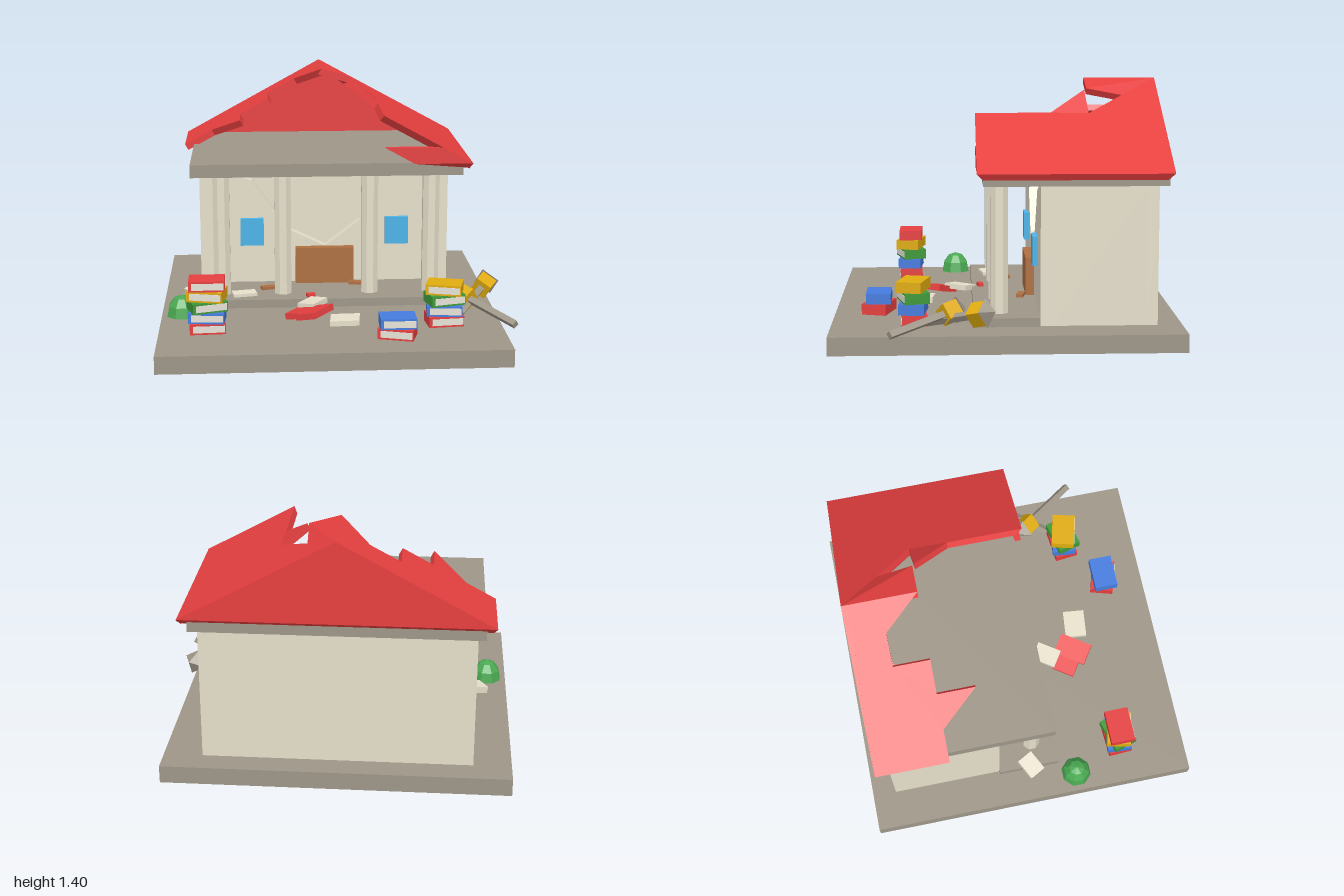
import * as THREE from 'three';

const mat = (name, color) => {
  const m = new THREE.MeshStandardMaterial({ color });
  m.name = name;
  m.flatShading = true;
  return m;
};

export function createModel() {
  const model = new THREE.Group();
  model.name = 'ruinedLibrary';
  const red = mat('roof red', 0xe63f3f), stone = mat('stone grey', 0x9e9688), wall = mat('cream wall', 0xe6dfcb);
  const wood = mat('door brown', 0xae7042), glass = mat('window blue', 0x4cb4e8), blue = mat('book blue', 0x467cdf);
  const green = mat('book green', 0x3f9a3a), gold = mat('gold', 0xe0ac10), pages = mat('pages', 0xf0ece0);
  const leaf = mat('bush green', 0x4aa952);
  stone.side = THREE.DoubleSide;

  const add = (name, geo, m, parent = model) => {
    const mesh = new THREE.Mesh(geo, m);
    mesh.name = name;
    parent.add(mesh);
    return mesh;
  };
  // box given by its min and max on each axis
  const box = (name, m, x0, x1, y0, y1, z0, z1) => {
    const b = add(name, new THREE.BoxGeometry(x1 - x0, y1 - y0, z1 - z0), m);
    b.position.set((x0 + x1) / 2, (y0 + y1) / 2, (z0 + z1) / 2);
    return b;
  };
  const extrude = (pts, depth) => new THREE.ExtrudeGeometry(
    new THREE.Shape(pts.map(p => new THREE.Vector2(...p))), { depth, bevelEnabled: false });

  // Plinth is a hollow shell: its underside is left open
  const plinth = box('plinth', stone, -1, 0.917, 0, 0.1, -0.957, 0.957).geometry;
  const faces = Array.from(plinth.index.array);
  faces.splice(18, 6);
  plinth.setIndex(faces);
  plinth.clearGroups();

  // Porch floor and ceiling slab
  box('porchFloor', stone, -0.81, 0.72, 0.101, 0.15, -0.18, 0.18);
  box('ceilingSlab', stone, -0.83, 0.745, 0.87, 0.945, -0.87, 0.13);

  // Walls, the front one broken open in a V
  box('backWall', wall, -0.79, 0.7, 0.101, 0.87, -0.82, -0.76);
  box('rightWall', wall, -0.79, -0.73, 0.101, 0.87, -0.76, -0.24);
  box('leftWall', wall, 0.64, 0.7, 0.101, 0.87, -0.76, -0.24);
  const front = add('brokenFrontWall', extrude([
    [-0.79, 0.101], [0.7, 0.101], [0.7, 0.87], [0.62, 0.87], [0.52, 0.84], [0.4, 0.81], [0.26, 0.64], [0.17, 0.53],
    [-0.04, 0.37], [-0.25, 0.47], [-0.35, 0.6], [-0.48, 0.78], [-0.61, 0.825], [-0.7, 0.87], [-0.79, 0.87]
  ], 0.06), wall);
  front.position.z = -0.24;

  // Door with its foot showing under the plinth top, windows and columns
  box('door', wood, -0.22, 0.13, 0.101, 0.37, -0.2, -0.13);
  box('doorFoot', wood, -0.2, 0.13, 0.094, 0.101, -0.205, -0.185);
  for (const x of [-0.48, 0.39]) box('window', glass, x - 0.07, x + 0.07, 0.385, 0.55, -0.19, -0.15);
  for (const x of [-0.657, -0.3, 0.21, 0.57]) {
    const c = add('column', new THREE.CylinderGeometry(0.052, 0.052, 0.72, 8), wall);
    c.position.set(x, 0.51, 0.04);
    c.rotation.y = Math.PI / 8;
  }

  // Roof slopes: a plan outline (x, z) laid on the pitch, undercut at the eaves
  const ridgeX = -0.045, ridgeY = 1.405, pitch = 0.548;
  const slope = (name, plan, side) => {
    const g = extrude(plan.map(([x, z]) => [x, -z]), 0.04);
    g.rotateX(-Math.PI / 2);
    const p = g.attributes.position;
    for (let i = 0; i < p.count; i++) {
      const x = p.getX(i), z = p.getZ(i), lower = p.getY(i) < 0.02;
      // the torn tip beside the ridge curls upward
      const curl = Math.abs(x - 0.132) < 0.02 && Math.abs(z + 0.47) < 0.02 ? 0.045 : 0;
      p.setY(i, ridgeY - pitch * Math.abs(x - ridgeX) + curl - (lower ? 0.035 : 0));
      if (!lower) continue;
      p.setX(i, x - side * 0.02);
      if (z > 0.16) p.setZ(i, z - 0.035);
      if (z < -0.88) p.setZ(i, z + 0.035);
    }
    g.computeVertexNormals();
    add(name, g, red);
  };
  slope('roofLeftSlope', [
    [-0.045, -0.89], [0.798, -0.89], [0.798, 0.165], [0.28, 0.165], [0.28, -0.26], [0.142, -0.462],
    [0.285, -0.475], [0.12, -0.68], [0.13, -0.475], [-0.045, -0.475]
  ], 1);
  slope('roofRightSlope', [
    [-0.045, -0.89], [-0.885, -0.89], [-0.885, -0.475], [-0.72, -0.475], [-0.545, -0.26], [-0.545, -0.475],
    [-0.375, -0.475], [-0.375, -0.68], [-0.21, -0.68], [-0.045, -0.475]
  ], -1);

  // Gables: the corners of the inner face drop to the slab
  const gable = (name, pts, z, innerIsBack) => {
    const g = extrude(pts, 0.035), p = g.attributes.position;
    for (let i = 0; i < p.count; i++) {
      const x = p.getX(i), inner = (p.getZ(i) < 0.01) === innerIsBack;
      if (inner && p.getY(i) < 0.95 && Math.abs(x) > 0.7) p.setXY(i, x - Math.sign(x) * 0.02, 0.912);
    }
    g.computeVertexNormals();
    add(name, g, red).position.z = z;
  };
  gable('backGable', [[-0.885, 0.945], [0.798, 0.945], [ridgeX, ridgeY]], -0.89, false);
  gable('frontGableRemnant', [[0.46, 0.945], [0.798, 0.945], [0.62, 1.04], [0.29, 1.04]], 0.13, true);

  // Books: a cover block with the page edge on its front
  const book = (m, x, y, z, turn) => {
    const g = new THREE.Group();
    g.name = 'book';
    add('cover', new THREE.BoxGeometry(0.198, 0.06, 0.14), m, g);
    add('pageEdge', new THREE.BoxGeometry(0.175, 0.038, 0.008), pages, g).position.set(0.006, 0, 0.069);
    g.position.set(x, y, z);
    g.rotation.y = turn;
    model.add(g);
  };
  const stack = (x, z, list) => list.forEach(([m, turn], i) => book(m, x, 0.131 + i * 0.061, z, turn));
  stack(-0.73, 0.56, [[red, 0.05], [blue, -0.08], [green, 0.3], [gold, -0.22], [red, 0]]);
  stack(0.595, 0.51, [[red, 0.1], [blue, -0.1], [green, 0.25], [gold, -0.25]]);
  stack(0.312, 0.712, [[red, -0.28], [blue, 0]]);

  // Bush
  const bush = add('bush', new THREE.SphereGeometry(0.09, 8, 3, 0, Math.PI * 2, 0, Math.PI / 2), leaf);
  bush.scale.y = 1.33;
  bush.position.set(-0.885, 0.1, 0.275);
  bush.rotation.y = Math.PI / 8;

  // Fallen lamps: post, lantern and pointed cap along one axis
  const lamp = (foot, head) => {
    const a = new THREE.Vector3(...foot), d = new THREE.Vector3(...head).sub(a), len = d.length();
    const g = new THREE.Group();
    g.name = 'fallenLamp';
    add('post', new THREE.BoxGeometry(0.035, len, 0.035), stone, g).position.y = len / 2;
    add('lantern', new THREE.BoxGeometry(0.095, 0.09, 0.095), gold, g).position.y = len;
    const cap = add('cap', new THREE.ConeGeometry(0.08, 0.06, 4), stone, g);
    cap.position.y = len + 0.075;
    cap.rotation.y = Math.PI / 4;
    g.position.copy(a);
    g.quaternion.setFromUnitVectors(new THREE.Vector3(0, 1, 0), d.normalize());
    model.add(g);
  };
  lamp([0.98, 0.125, 0.625], [0.742, 0.19, 0.31]);
  lamp([0.7, 0.13, 0.43], [0.875, 0.21, 0.155]);

  // Rubble: name, colour, size, place, turn, tilt
  for (const [name, m, size, at, turn, tilt] of [
    ['roofRubble', red, [0.15, 0.035, 0.14], [-0.195, 0.13, 0.37], -0.6, 0.2],
    ['roofRubble', red, [0.13, 0.035, 0.2], [-0.13, 0.15, 0.42], -0.6, 0.25],
    ['roofRubble', red, [0.05, 0.02, 0.03], [-0.14, 0.16, 0.13], 0.2, 0],
    ['wallRubble', wall, [0.11, 0.03, 0.15], [-0.135, 0.15, 0.25], -0.6, 0.1],
    ['wallRubble', wall, [0.165, 0.03, 0.13], [0.04, 0.118, 0.47], -0.1, 0.05],
    ['wallRubble', wall, [0.13, 0.04, 0.1], [-0.805, 0.165, 0.01], 0.5, 0.2],
    ['wallRubble', wall, [0.14, 0.02, 0.08], [-0.53, 0.158, 0.08], 0.2, 0],
    ['woodSplinter', wood, [0.08, 0.02, 0.04], [-0.39, 0.158, -0.03], 0.3, 0],
    ['woodSplinter', wood, [0.1, 0.02, 0.04], [0.15, 0.158, -0.1], -0.2, 0],
  ]) {
    const r = add(name, new THREE.BoxGeometry(...size), m);
    r.position.set(...at);
    r.rotation.set(0, turn, tilt);
  }
  return model;
}
